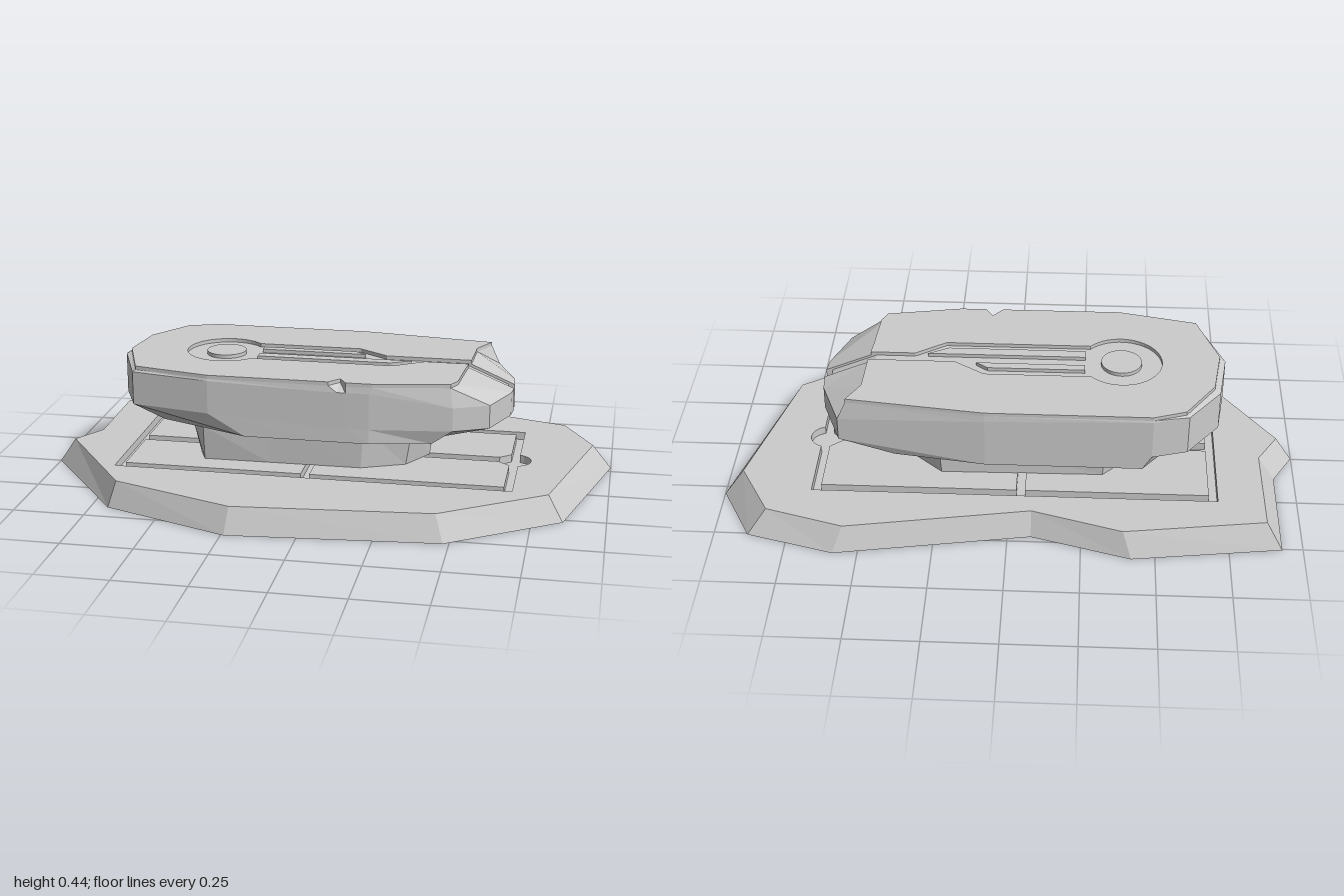
import * as THREE from 'three';

const solid = new THREE.MeshStandardMaterial({ color: 0xcccccc, flatShading: true });
const sheet = new THREE.MeshStandardMaterial({ color: 0xcccccc, flatShading: true, side: THREE.DoubleSide });
const path2 = (pts) => pts.map(([x, z]) => new THREE.Vector2(x, -z));

function mesh(name, geometry, material = solid) {
  const m = new THREE.Mesh(geometry, material);
  m.name = name;
  return m;
}

function planShape(outline, holes = []) {
  const shape = new THREE.Shape(path2(outline));
  holes.forEach((h) => shape.holes.push(new THREE.Path(path2(h))));
  return shape;
}

// Plan outline [x, z] raised from y0 to y1
function slab(outline, y0, y1) {
  const g = new THREE.ExtrudeGeometry(planShape(outline), { depth: y1 - y0, bevelEnabled: false });
  return g.rotateX(-Math.PI / 2).translate(0, y0, 0);
}

// Flat sheet in plan at height y
function plane(outline, y, holes) {
  return new THREE.ShapeGeometry(planShape(outline, holes)).rotateX(-Math.PI / 2).translate(0, y, 0);
}

// Faceted skin through rings of [x, y, z], listed clockwise from above
function loft(rings, capped = true) {
  const pos = [];
  const tri = (a, b, c) => pos.push(...a, ...b, ...c);
  const n = rings[0].length;
  for (let k = 0; k < rings.length - 1; k++) {
    for (let j = 0; j < n; j++) {
      const i = (j + 1) % n;
      const a = rings[k][j], b = rings[k][i], c = rings[k + 1][i], d = rings[k + 1][j];
      tri(a, c, b);
      tri(a, d, c);
    }
  }
  const cap = (ring, up) => {
    const flat = path2(ring.map((p) => [p[0], p[2]]));
    for (const [i, j, k] of THREE.ShapeUtils.triangulateShape(flat, [])) {
      const ccw = THREE.ShapeUtils.area([flat[i], flat[j], flat[k]]) > 0;
      if (ccw === up) tri(ring[i], ring[j], ring[k]);
      else tri(ring[i], ring[k], ring[j]);
    }
  };
  if (capped) {
    cap(rings[0], false);
    cap(rings[rings.length - 1], true);
  }
  const g = new THREE.BufferGeometry();
  g.setAttribute('position', new THREE.Float32BufferAttribute(pos, 3));
  g.computeVertexNormals();
  return g;
}

function arc(cx, cz, r, from, to, steps) {
  return Array.from({ length: steps + 1 }, (_, i) => {
    const a = THREE.MathUtils.degToRad(from + ((to - from) * i) / steps);
    return [cx + r * Math.cos(a), cz + r * Math.sin(a)];
  });
}

// Sloping base plate, open underneath, with channels sunk into its top
function createBase() {
  const base = new THREE.Group();
  base.name = 'base';
  const H = 0.09, mid = -0.06;
  const foot = [[-0.93, -0.505], [-0.42, -0.575], [-0.08, -0.475], [0.585, -0.59], [0.885, -0.507], [1, -0.288],
    [0.855, 0.272], [0.48, 0.527], [-0.24, 0.588], [-0.69, 0.418], [-1, 0.003], [-0.93, -0.12]];
  const rim = [[-0.875, -0.47], [-0.39, -0.54], [-0.08, -0.445], [0.55, -0.555], [0.82, -0.475], [0.932, -0.27],
    [0.803, 0.255], [0.45, 0.492], [-0.23, 0.552], [-0.665, 0.393], [-0.94, 0.003], [-0.87, -0.115]];
  const at = (pts, y) => pts.map(([x, z]) => [x, y, z]);
  base.add(mesh('baseSides', loft([at(foot, 0), at(rim, H)], false), sheet));

  // Outer edge of the frame channel, with a round bump at one end
  const frame = [[-0.715, -0.365], [0.68, -0.365], ...arc(0.665, mid, 0.058, -75, 75, 10), [0.68, 0.246], [-0.715, 0.246]];
  // Inner panels, each notched from its outer end
  const rightPanel = [[-0.025, -0.335], [0.65, -0.335], [0.65, mid - 0.056], [0.61, mid - 0.022], [0.12, mid - 0.022],
    [0.12, mid + 0.022], [0.61, mid + 0.022], [0.65, mid + 0.056], [0.65, 0.211], [-0.025, 0.211], [-0.025, mid]];
  const leftPanel = [[-0.685, -0.335], [-0.055, -0.335], [-0.055, mid], [-0.055, 0.211], [-0.685, 0.211],
    [-0.685, mid + 0.022], [-0.185, mid + 0.022], [-0.185, mid - 0.022], [-0.685, mid - 0.022]];

  // Channels deepen towards the middle of the plate
  const floorY = (x, z) => H - (Math.abs(x + 0.04) < 0.23 && Math.abs(z - mid) < 0.03 ? 0.06 : 0.028);
  const walls = (pts) => loft([pts.map(([x, z]) => [x, floorY(x, z), z]), at(pts, H)], false);
  const floor = plane(frame, 0, [rightPanel, leftPanel]);
  const p = floor.attributes.position;
  for (let i = 0; i < p.count; i++) p.setY(i, floorY(p.getX(i), p.getZ(i)));
  base.add(
    mesh('baseTop', plane(rim, H, [frame]), sheet),
    mesh('rightPanel', plane(rightPanel, H), sheet),
    mesh('leftPanel', plane(leftPanel, H), sheet),
    mesh('channelFloor', floor, sheet));
  [frame, rightPanel, leftPanel].forEach((c) => base.add(mesh('channelWalls', walls(c), sheet)));
  return base;
}

// Rough stone support between base and upper block
function createPedestal() {
  // lower x, z, upper x, z, upper y
  const rows = [
    [-0.45, -0.10, -0.47, -0.10, 0.212], [-0.32, -0.235, -0.33, -0.243, 0.236], [0.24, -0.243, 0.25, -0.243, 0.24],
    [0.355, -0.14, 0.38, -0.14, 0.24], [0.36, -0.07, 0.38, -0.07, 0.24], [0.29, 0.05, 0.315, 0.06, 0.24],
    [0.14, 0.115, 0.15, 0.12, 0.24], [-0.185, 0.118, -0.20, 0.125, 0.24], [-0.42, 0.12, -0.42, 0.135, 0.215],
    [-0.45, 0.05, -0.47, 0.07, 0.205]];
  return mesh('pedestal', loft([rows.map((r) => [r[0], H0, r[1]]), rows.map((r) => [r[2], r[4], r[3]])]));
}
const H0 = 0.09;

// Faceted upper block with an engraved top
function createBlock() {
  const block = new THREE.Group();
  block.name = 'upperBlock';
  const top = 0.445, floor = 0.432;
  // belt x, z, bottom x, z, top x, z
  const back = [
    [-0.71, -0.20, -0.57, -0.18, -0.69, -0.19], [-0.60, -0.345, -0.52, -0.29, -0.59, -0.34],
    [-0.48, -0.38, -0.45, -0.38, -0.48, -0.378], [0.08, -0.38, 0.08, -0.38, 0.08, -0.378],
    [0.58, -0.325, 0.39, -0.335, 0.55, -0.32], [0.65, -0.145, 0.41, -0.14, 0.505, -0.235]];
  const endGroove = [
    [0.655, -0.078, 0.41, -0.078, 0.50, -0.078], [0.632, -0.078, 0.40, -0.078, 0.475, -0.078],
    [0.632, -0.035, 0.40, -0.035, 0.475, -0.035], [0.655, -0.035, 0.41, -0.035, 0.495, -0.035]];
  const front = [
    [0.65, 0.015, 0.41, 0.01, 0.49, 0.02], [0.59, 0.17, 0.41, 0.15, 0.48, 0.17],
    [0.47, 0.225, 0.40, 0.22, 0.46, 0.212], [0.19, 0.26, 0.19, 0.262, 0.20, 0.257],
    [0.11, 0.261, 0.11, 0.262, 0.11, 0.258], [0.08, 0.261, 0.08, 0.262, 0.085, 0.216],
    [0.05, 0.261, 0.05, 0.262, 0.05, 0.258], [-0.37, 0.261, -0.24, 0.262, -0.37, 0.259],
    [-0.65, 0.205, -0.56, 0.13, -0.64, 0.20], [-0.735, -0.01, -0.59, -0.01, -0.715, -0.01]];
  const rows = [...back, ...endGroove, ...front];
  const beltLow = (x, z) => (x < -0.3 && z > 0.1 ? 0.308 : 0.283);
  const beltTop = (x) => (x > 0.4 ? 0.365 : x < -0.3 ? 0.425 : 0.41);
  block.add(mesh('blockBody', loft([
    rows.map((r) => [r[2], 0.233, r[3]]),
    rows.map((r) => [r[0], beltLow(r[0], r[1]), r[1]]),
    rows.map((r) => [r[0], beltTop(r[0]), r[1]]),
    rows.map((r) => [r[4], floor, r[5]])])));

  // Top plate, its edge running in along the channel and around the round recess
  const cx = -0.375, cz = -0.055;
  const channel = [[0.20, -0.08], [0.095, -0.15], ...arc(cx, cz, 0.14, -42.7, -320, 36), [0.235, 0.035], [0.34, -0.035]];
  const plan = (list) => list.map((r) => [r[4], r[5]]);
  const plate = [...plan(back), [0.50, -0.08], ...channel, [0.495, -0.035], ...plan(front)];
  block.add(mesh('topPlate', slab(plate, floor, top)));

  // Raised pieces left standing inside the recess
  const strips = [
    [[-0.25, -0.113], [0.085, -0.113], [0.125, -0.083], [-0.25, -0.083]],
    [[-0.25, -0.035], [0.295, -0.035], [0.225, 0.003], [-0.25, 0.003]]];
  strips.forEach((s) => block.add(mesh('raisedStrip', slab(s, floor, top))));
  block.add(mesh('raisedDisc', slab(arc(cx, cz, 0.07, 0, 350, 35), floor, top)));
  return block;
}

export function createModel() {
  const model = new THREE.Group();
  model.name = 'stonePlatform';
  model.add(createBase(), createPedestal(), createBlock());
  return model;
}
